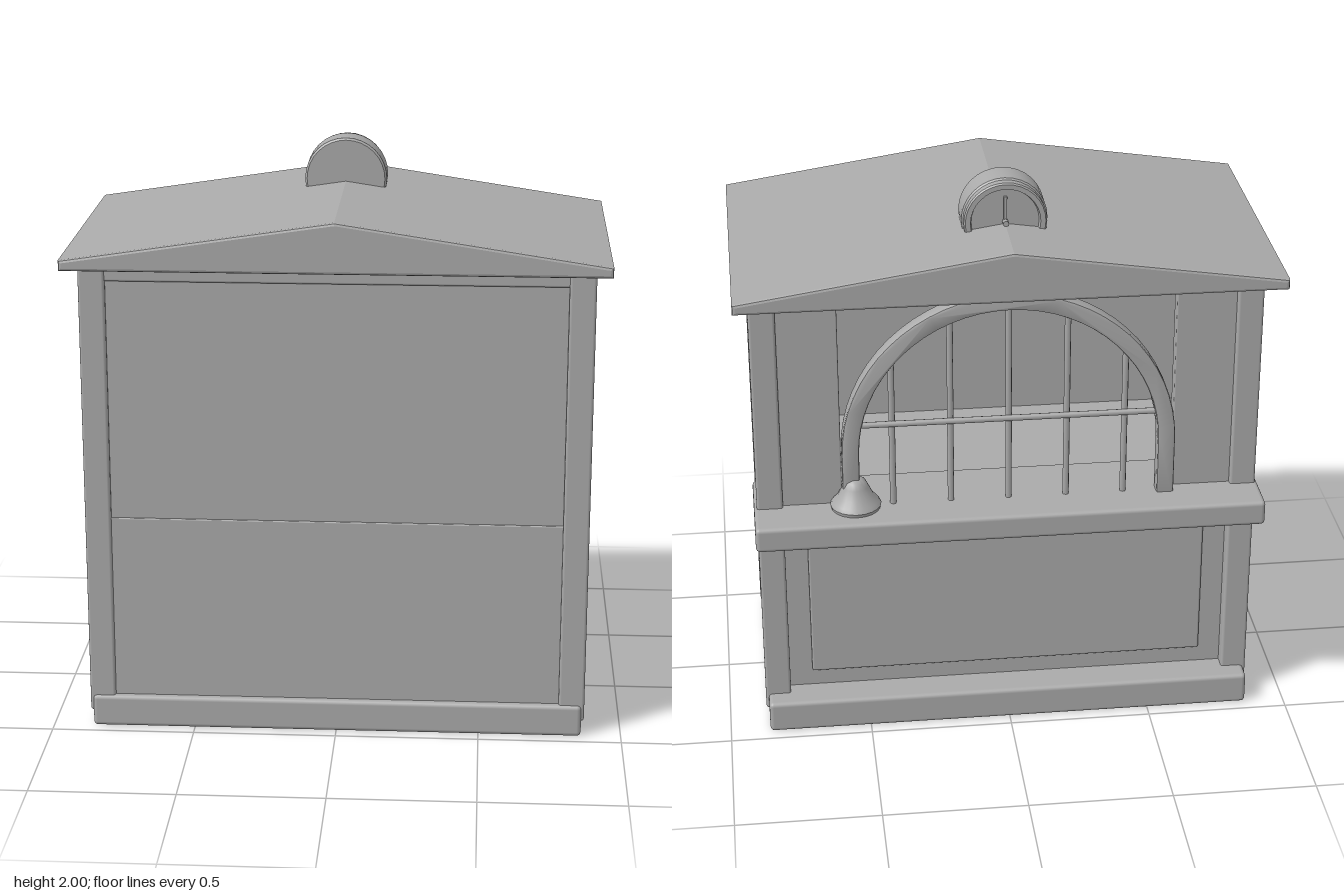
import * as THREE from 'three';
import { RoundedBoxGeometry } from 'three/addons/geometries/RoundedBoxGeometry.js';
import { toCreasedNormals } from 'three/addons/utils/BufferGeometryUtils.js';

export function createModel() {
  const group = new THREE.Group();
  const grey = new THREE.MeshStandardMaterial({ color: 0xaaaaaa });
  grey.name = 'grey';

  const add = (name, geometry, x = 0, y = 0, z = 0) => {
    const mesh = new THREE.Mesh(geometry, grey);
    mesh.name = name;
    mesh.position.set(x, y, z);
    group.add(mesh);
    return mesh;
  };
  // Softly rounded box given by its extents on each axis
  const block = (name, [x0, x1], [y0, y1], [z0, z1], r = 0.01) =>
    add(name, new RoundedBoxGeometry(x1 - x0, y1 - y0, z1 - z0, 2, r),
      (x0 + x1) / 2, (y0 + y1) / 2, (z0 + z1) / 2);
  const rod = (name, length, r, x, y, z) =>
    add(name, new THREE.CylinderGeometry(r, r, length, 8), x, y, z);

  // Base, cabinet and counter
  block('base', [-0.86, 0.86], [0, 0.115], [-0.46, 0.46], 0.015);
  block('cabinet', [-0.81, 0.81], [0.1, 0.83], [-0.34, 0.4], 0.005);
  block('counter', [-0.88, 0.88], [0.78, 0.87], [-0.535, -0.17], 0.015);
  block('backPanel', [-0.7, 0.7], [0.18, 0.73], [-0.358, -0.33], 0.008);

  // Front wall in two boards with a beam above
  block('lowerFrontWall', [-0.785, 0.785], [0.1, 0.772], [0.37, 0.437], 0.004);
  block('upperFrontWall', [-0.785, 0.785], [0.765, 1.625], [0.37, 0.43], 0.004);
  block('frontBeam', [-0.79, 0.79], [1.615, 1.69], [0.365, 0.442], 0.008);
  block('backBeam', [-0.79, 0.79], [1.615, 1.69], [-0.385, -0.29], 0.008);

  // Posts, side panels and window side boards, mirrored
  for (const s of [-1, 1]) {
    const span = (a, b) => (s > 0 ? [a, b] : [-b, -a]);
    block('frontPost', span(0.78, 0.87), [0.055, 1.69], [0.36, 0.45]);
    block('backPost', span(0.78, 0.87), [0.055, 1.69], [-0.39, -0.3]);
    block('sidePanel', span(0.8, 0.835), [0.18, 0.735], [-0.255, 0.35], 0.01);
    block('windowBoard', span(0.575, 0.79), [0.86, 1.65], [-0.37, -0.32], 0.005);
  }

  // Gabled roof with a flat underside
  const bevel = 0.01;
  const gable = new THREE.Shape();
  gable.moveTo(-0.91, 1.68);
  gable.lineTo(0.91, 1.68);
  gable.lineTo(0.91, 1.698);
  gable.lineTo(0, 1.836);
  gable.lineTo(-0.91, 1.698);
  gable.closePath();
  const roof = new THREE.ExtrudeGeometry(gable, {
    depth: 1.05, bevelEnabled: true, bevelSize: bevel, bevelThickness: bevel, bevelSegments: 2,
  });
  add('roof', roof, 0, 0, -0.525);

  // Arched window frame
  const springY = 1.075;
  const outer = 0.567;
  const inner = 0.523;
  const arch = new THREE.Shape();
  arch.moveTo(outer, 0.86);
  arch.lineTo(outer, springY);
  arch.absarc(0, springY, outer, 0, Math.PI, false);
  arch.lineTo(-outer, 0.86);
  arch.lineTo(-inner, 0.86);
  arch.lineTo(-inner, springY);
  arch.absarc(0, springY, inner, Math.PI, 0, true);
  arch.lineTo(inner, 0.86);
  arch.closePath();
  const archGeometry = new THREE.ExtrudeGeometry(arch, {
    depth: 0.044, curveSegments: 16, bevelEnabled: true, bevelSize: 0.008, bevelThickness: 0.008, bevelSegments: 2,
  });
  add('windowArch', toCreasedNormals(archGeometry, 0.6), 0, 0, -0.412);

  // Window bars
  for (let i = -2; i <= 2; i++) {
    const x = i * 0.2;
    const top = springY + Math.sqrt(0.54 ** 2 - x * x);
    rod('windowBar', top - 0.86, 0.011, x, (top + 0.86) / 2, -0.39);
  }
  rod('crossBar', 1.08, 0.011, 0, 1.18, -0.4).rotation.z = Math.PI / 2;

  // Counter bell
  const bellProfile = [[0, 0], [0.085, 0], [0.088, 0.012], [0.08, 0.025], [0.062, 0.045],
    [0.045, 0.08], [0.035, 0.1], [0.018, 0.112], [0, 0.114]].map(([r, y]) => new THREE.Vector2(r, y));
  add('bell', toCreasedNormals(new THREE.LatheGeometry(bellProfile, 20), 0.6), 0.53, 0.87, -0.4);

  // Round clock on the ridge, facing the counter side
  const clockY = 1.855;
  const drumProfile = [[0, -0.15], [0.138, -0.15], [0.145, -0.157], [0.145, -0.255], [0.14, -0.262],
    [0.14, -0.288], [0.135, -0.293], [0.118, -0.293], [0.114, -0.278], [0, -0.278]]
    .map(([r, z]) => new THREE.Vector2(r, z)).reverse();
  const drum = new THREE.LatheGeometry(drumProfile, 32);
  drum.rotateX(Math.PI / 2);
  add('clock', toCreasedNormals(drum, 0.6), 0, clockY, 0);
  block('clockHand', [-0.006, 0.006], [clockY - 0.01, clockY + 0.09], [-0.287, -0.277], 0.002);
  const pin = rod('clockPin', 0.03, 0.01, 0, clockY, -0.29);
  pin.rotation.x = Math.PI / 2;

  return group;
}
